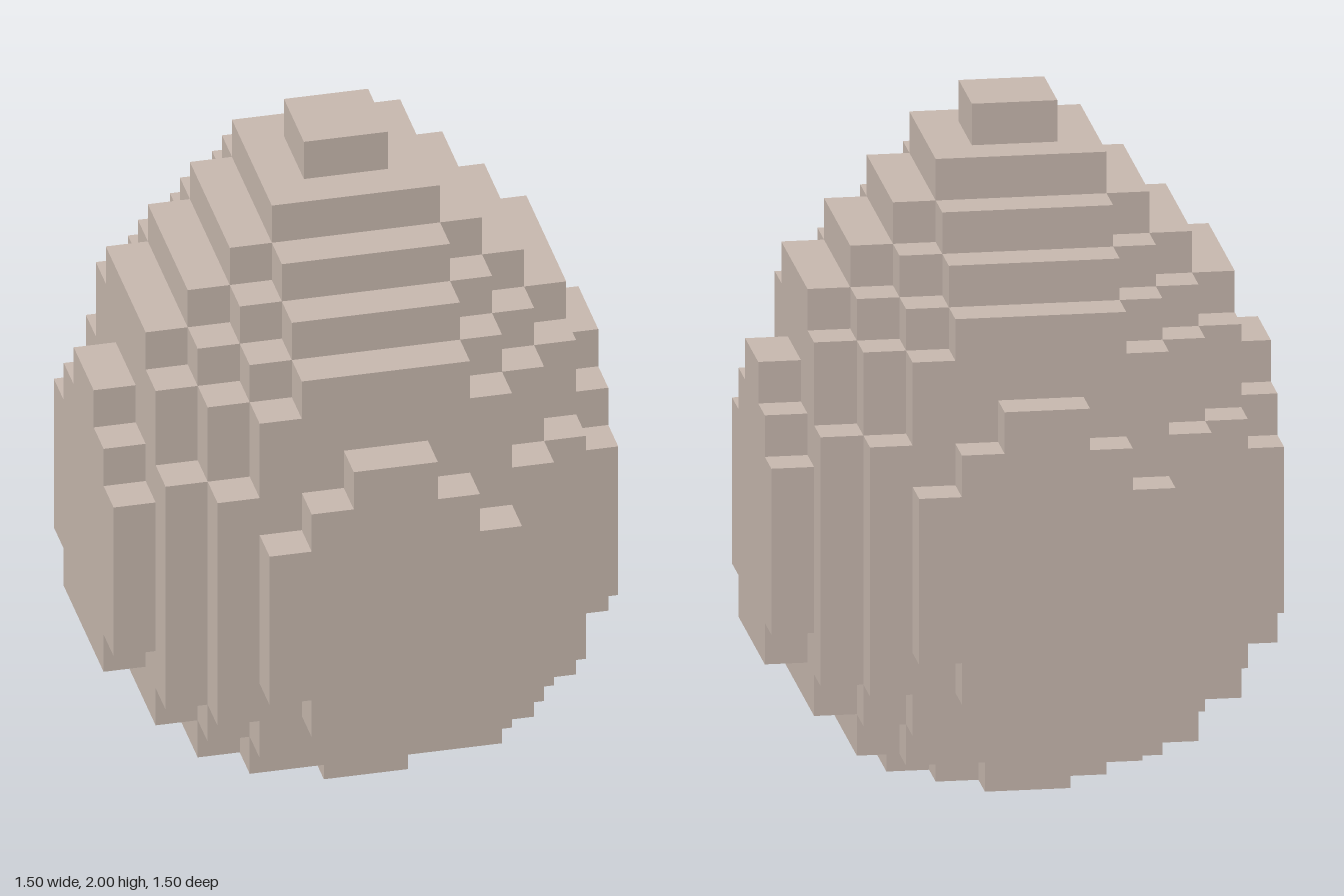
import * as THREE from 'three';

const U = 0.125; // size of one block

// Each tier: name, height in blocks, and half-widths of its rows
// counted outward from the centre line.
const TIERS = [
  ['base', 1, [3, 2, 1]],
  ['lowerStep', 1, [4, 4, 4, 3]],
  ['lowerBelly', 1, [5, 5, 5, 4, 3]],
  ['bellyUnderside', 1, [6, 6, 5, 5, 4, 2]],
  ['belly', 4, [6, 6, 6, 5, 4, 3]],
  ['bellyTop', 1, [6, 6, 5, 5, 4, 2]],
  ['bellyCrest', 1, [6, 5, 5, 4, 3, 1]],
  ['shoulder', 1, [5, 5, 5, 4, 3]],
  ['upperShoulder', 1, [5, 5, 4, 3, 2]],
  ['neck', 1, [4, 4, 3, 2]],
  ['upperNeck', 1, [3, 3, 2]],
  ['crown', 1, [2, 2]],
  ['tip', 1, [1]],
];

// Stepped outline: one quadrant's corners turned four times
function tierShape(rows) {
  const corners = [];
  rows.forEach((w, i) => {
    const next = rows[i + 1];
    if (next === w) return;
    corners.push([w, i + 1]);
    if (next !== undefined) corners.push([next, i + 1]);
  });
  const points = [];
  for (let q = 0; q < 4; q++) {
    const c = [1, 0, -1, 0][q];
    const s = [0, 1, 0, -1][q];
    for (const [x, y] of corners) {
      points.push(new THREE.Vector2((x * c - y * s) * U, (x * s + y * c) * U));
    }
  }
  return new THREE.Shape(points);
}

export function createModel() {
  const group = new THREE.Group();
  group.name = 'blockEgg';
  const shell = new THREE.MeshStandardMaterial({ color: 0xc9bab0 });
  shell.name = 'eggshell';

  // Stack the tiers from the ground up
  let level = 0;
  for (const [name, height, rows] of TIERS) {
    const geometry = new THREE.ExtrudeGeometry(tierShape(rows), {
      depth: height * U,
      bevelEnabled: false,
    });
    geometry.rotateX(-Math.PI / 2);
    const mesh = new THREE.Mesh(geometry, shell);
    mesh.name = name;
    mesh.position.y = level * U;
    group.add(mesh);
    level += height;
  }
  return group;
}
